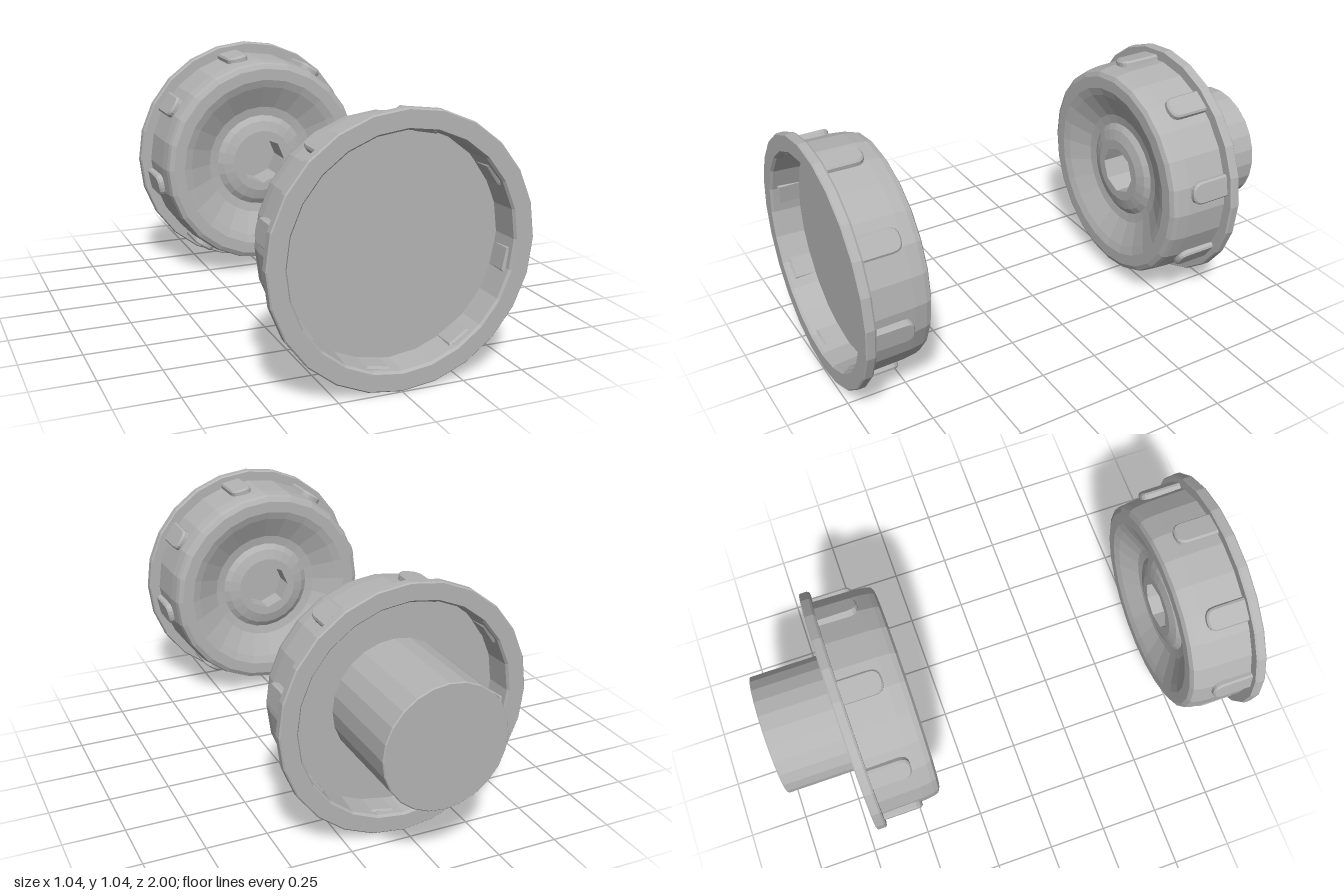
import * as THREE from 'three';

const grey = new THREE.MeshStandardMaterial({ color: 0xb4b4b4, flatShading: true });
grey.name = 'plain grey';

const AXIS_Y = 0.52;
const v = (r, z) => new THREE.Vector2(r, z);

function part(name, geometry) {
  const mesh = new THREE.Mesh(geometry, grey);
  mesh.name = name;
  return mesh;
}

// turned around the z axis; profile points are (radius, z)
function turned(name, profile, sides) {
  return part(name, new THREE.LatheGeometry(profile, sides).rotateX(Math.PI / 2));
}

function ringPoints(radius, count) {
  return Array.from({ length: count }, (_, i) => {
    const a = (i / count) * Math.PI * 2;
    return v(Math.cos(a) * radius, Math.sin(a) * radius);
  });
}

// raised grip: a bar with a rounded free end, standing out from the cap wall
function gripGeometry() {
  const w = 0.042, r = 0.036, low = 0.796, high = 0.965;
  const s = new THREE.Shape();
  s.moveTo(w, high);
  s.lineTo(-w, high);
  s.lineTo(-w, low + r);
  s.quadraticCurveTo(-w, low, -w + r, low);
  s.lineTo(w - r, low);
  s.quadraticCurveTo(w, low, w, low + r);
  s.closePath();
  return new THREE.ExtrudeGeometry(s, {
    depth: 0.045, curveSegments: 4,
    bevelEnabled: true, bevelThickness: 0.008, bevelSize: 0.007, bevelSegments: 1,
  }).translate(0, 0, 0.437).rotateX(Math.PI / 2);
}

// one cap: flange at z = 1, dished face at z = 0.7
function makeCap(name, boreEnd) {
  const cap = new THREE.Group();
  cap.name = name;

  // hub, dish, rounded wall, flange and open recess in one section
  cap.add(turned('capShell', [
    v(0.14, 0.74), v(0.185, 0.752), v(0.21, 0.768), v(0.25, 0.762),
    v(0.35, 0.712), v(0.385, 0.7), v(0.435, 0.7), v(0.455, 0.71),
    v(0.462, 0.73), v(0.468, 0.78), v(0.472, 0.957),
    v(0.515, 0.957), v(0.52, 0.965), v(0.52, 0.995), v(0.515, 1),
    v(0.45, 1), v(0.442, 0.99), v(0.435, 0.88), v(0, 0.88),
  ], 24));

  // flat hub face around the eight-sided bore
  const face = new THREE.Shape(ringPoints(0.14, 24));
  face.holes.push(new THREE.Path(ringPoints(0.105, 8)));
  const hub = part('hubFace', new THREE.ShapeGeometry(face).rotateY(Math.PI));
  hub.position.z = 0.74;
  cap.add(hub);
  cap.add(turned('bore', [v(0, boreEnd), v(0.105, boreEnd), v(0.105, 0.74)], 8));

  // eight grips around the wall
  const grip = gripGeometry();
  for (let i = 0; i < 8; i++) {
    const mesh = part('grip', grip);
    mesh.rotation.z = THREE.MathUtils.degToRad(-11 + i * 45);
    cap.add(mesh);
  }
  cap.position.y = AXIS_Y;
  return cap;
}

export function createModel() {
  const model = new THREE.Group();
  model.name = 'pairOfCaps';

  model.add(makeCap('frontCap', 0.83));

  // the rear cap is the same piece turned round, with a shaft in its recess
  const rear = makeCap('rearCap', 0.87);
  rear.rotation.y = Math.PI;
  rear.add(turned('shaft', [v(0.255, 0.87), v(0.255, 0.996), v(0.255, 1.296), v(0.251, 1.3), v(0, 1.3)], 24));
  model.add(rear);

  // move the rear cap so its shaft ends at z = -1
  rear.position.z = 0.3;
  return model;
}
